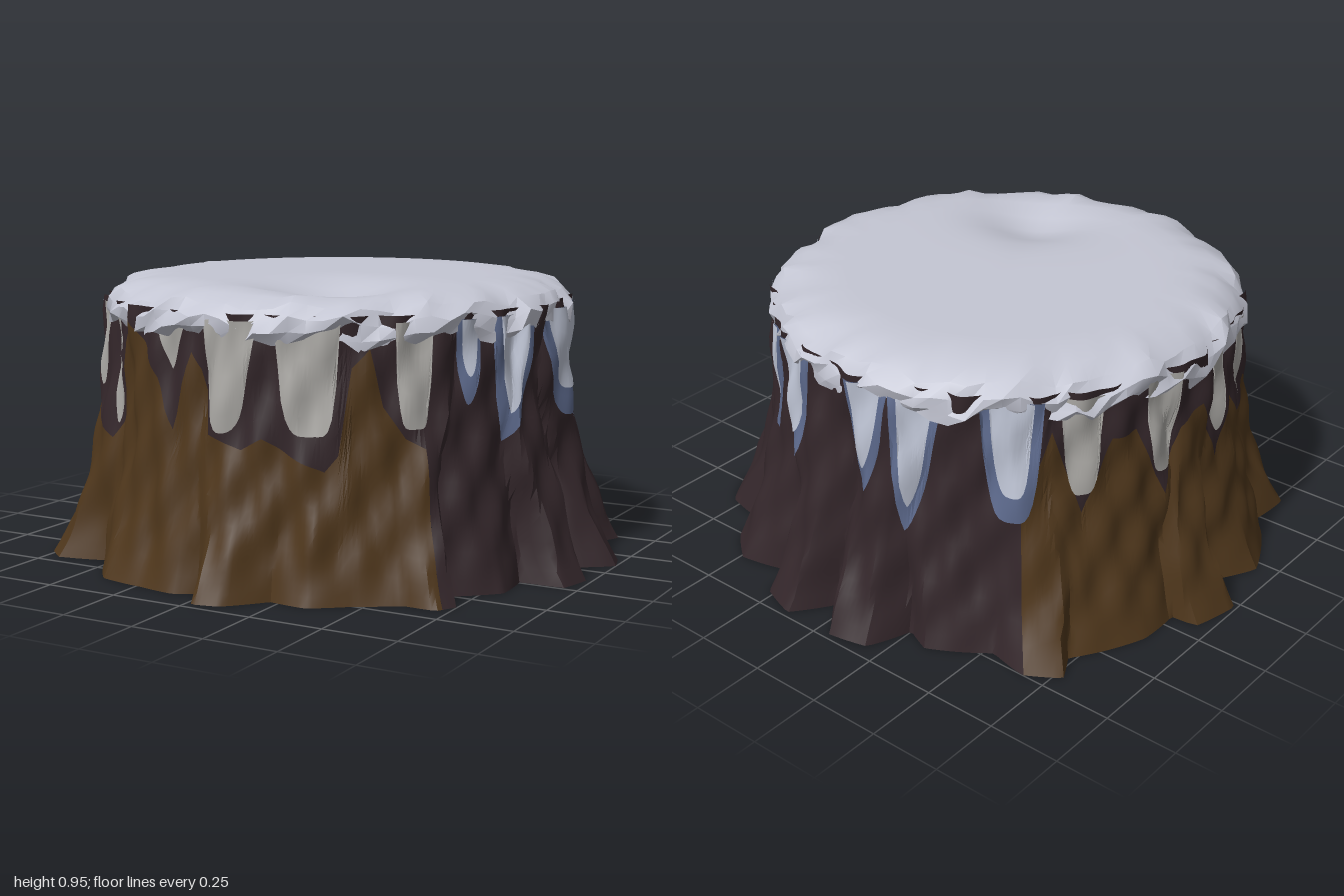
import * as THREE from 'three';
import { toCreasedNormals } from 'three/addons/utils/BufferGeometryUtils.js';

const RAD = Math.PI / 180;
const paint = (name, color) => Object.assign(new THREE.MeshStandardMaterial({ color }), { name });

// Footprint of the root lobes (x, z), in order of rising angle from the back
const FOOT = [
  [-0.53, -0.72], [-0.34, -0.84], [-0.25, -0.80], [-0.19, -0.95], [-0.05, -0.98], [0.03, -0.83],
  [0.14, -0.98], [0.28, -0.93], [0.29, -0.80], [0.49, -0.85], [0.60, -0.76], [0.58, -0.65],
  [0.79, -0.61], [0.87, -0.48], [0.80, -0.35], [0.81, -0.20], [0.97, -0.20], [1.0, -0.10],
  [0.89, -0.02], [0.81, 0.0], [0.98, 0.12], [0.95, 0.24], [0.80, 0.24], [0.81, 0.39],
  [0.67, 0.51], [0.75, 0.60], [0.71, 0.67], [0.60, 0.67], [0.47, 0.75], [0.35, 0.84],
  [0.22, 0.83], [0.11, 0.95], [0.02, 0.97], [-0.03, 0.86], [-0.10, 0.90], [-0.23, 0.88],
  [-0.40, 0.85], [-0.53, 0.66], [-0.70, 0.70], [-0.77, 0.64], [-0.75, 0.42], [-0.82, 0.42],
  [-0.93, 0.21], [-0.83, 0.04], [-0.99, -0.02], [-0.95, -0.19], [-0.86, -0.20], [-0.86, -0.35],
  [-0.73, -0.59], [-0.78, -0.68], [-0.67, -0.75],
];
const START = Math.atan2(FOOT[0][1], FOOT[0][0]) / RAD;
const wrap = d => START + ((((d - START) % 360) + 360) % 360);
const POLAR = FOOT.map(([x, z]) => [wrap(Math.atan2(z, x) / RAD + 1e-6), Math.hypot(x, z)]);
POLAR.push([START + 360, POLAR[0][1]]);

// Piecewise linear lookup in [key, value] pairs
function lookup(table, k) {
  let i = 1;
  while (i < table.length - 1 && table[i][0] < k) i++;
  const [k0, v0] = table[i - 1], [k1, v1] = table[i];
  return v0 + (v1 - v0) * THREE.MathUtils.clamp((k - k0) / (k1 - k0), 0, 1);
}

// Point on the bark at an angle (degrees) and height, pushed out by off
function bark(deg, y, off = 0) {
  const a = deg * RAD;
  const twist = y * 6 * Math.sin(5 * a + 7 * y);
  const foot = lookup(POLAR, wrap(deg + twist));
  const w = Math.pow(Math.max(0, 1 - y / 0.9), 2.6);
  const top = 0.785 + 0.13 * (foot - 0.89);
  const knots = 0.013 * Math.sin(19 * a + 8 * y) * Math.sin(15 * y + 7 * a) + 0.007 * Math.sin(41 * a - 9 * y);
  const r = top + (foot - top) * w + knots * Math.min(1, y * 6) + off;
  return [r * Math.cos(a), y, r * Math.sin(a)];
}

// Surface from a rule fn(u, v), creased like chipped bark or crusted snow
function sheet(cols, rows, fn, crease) {
  const pos = [], index = [];
  for (let i = 0; i <= cols; i++)
    for (let j = 0; j <= rows; j++) pos.push(...fn(i / cols, j / rows));
  for (let i = 0; i < cols; i++)
    for (let j = 0; j < rows; j++) {
      const a = i * (rows + 1) + j, c = a + rows + 1;
      index.push(a, a + 1, c, c, a + 1, c + 1);
    }
  const geo = new THREE.BufferGeometry();
  geo.setAttribute('position', new THREE.Float32BufferAttribute(pos, 3));
  geo.setIndex(index);
  return toCreasedNormals(geo, crease);
}

// Bark-hugging panel between two angles and two height rules
function panel(a0, a1, lo, hi, off, cols, rows) {
  return sheet(cols, rows, (u, v) => {
    const deg = a0 + (a1 - a0) * u, y0 = lo(deg), y1 = Math.max(y0, hi(deg));
    return bark(deg, y0 + (y1 - y0) * v, off);
  }, 0.55);
}

// Upper edge of the brown wood: [angle, height]
const BROWN_EDGE = [
  [42, 0.47], [46, 0.5], [51, 0.6], [54, 0.78], [58, 0.72], [61, 0.45], [64, 0.4], [72, 0.45], [78, 0.5],
  [83, 0.46], [91, 0.5], [94, 0.7], [97, 0.75], [102, 0.5], [107, 0.66], [112, 0.75], [120, 0.85], [123, 0.75],
  [126, 0.5], [129, 0.42], [136, 0.47], [144, 0.56], [151, 0.45], [158, 0.5], [165, 0.7], [172, 0.45], [180, 0.7],
  [187, 0.65], [193, 0.45], [200, 0.7], [207, 0.7], [214, 0.45], [221, 0.75], [228, 0.5],
];
// Icy runs: [angle, half width, lowest height, sharpness, lean]
const FROST = [
  [44, 4.5, 0.53, 6, 0], [68, 7.5, 0.51, 5, -0.2], [86, 6.5, 0.51, 3, 0.3], [103, 5, 0.69, 1.2, 0],
  [128, 2.5, 0.47, 2, 0], [138, 3.5, 0.58, 2, 0.2], [155, 5, 0.54, 4, 0], [172, 4, 0.55, 3, 0],
  [193, 5, 0.53, 4, 0], [214, 5, 0.52, 4, 0],
];
const ICE = [
  [-130, 5, 0.55, 4, 0], [-108, 4.5, 0.46, 1.6, 0.4], [-96, 4, 0.56, 2, 0.3], [-70, 5, 0.55, 3, 0],
  [-58, 2.5, 0.57, 5, 0], [-29, 6.5, 0.47, 1.5, 0.5], [-5, 6, 0.59, 3, -0.3], [16, 5.5, 0.55, 1.5, 0.5],
  [30, 2.5, 0.68, 2, 0],
];
const TOP = 0.86;
function run([a, w, low, sharp, lean], grow, drop, off) {
  const half = w * grow;
  const lo = deg => {
    const t = (deg - a) / half;
    const s = t > lean ? (t - lean) / (1 - lean) : (lean - t) / (1 + lean);
    return low - drop + (TOP - low + drop) * Math.pow(Math.min(1, s), sharp);
  };
  return panel(a - half, a + half, lo, () => TOP, off, 16, 6);
}

// Snow cap from under the lip to the middle: [radius, height, lumpiness]
const CAP = [
  [0.74, 0.82, 0.3], [0.785, 0.795, 1], [0.803, 0.825, 0.9], [0.8, 0.865, 0.8], [0.765, 0.905, 0.6],
  [0.70, 0.935, 0.25], [0.62, 0.95, 0], [0.54, 0.952, 0], [0.46, 0.952, 0], [0.38, 0.952, 0],
  [0.3, 0.952, 0], [0.2, 0.952, 0], [0.1, 0.952, 0], [0, 0.952, 0],
];
function snowPoint(u, v) {
  const a = u * Math.PI * 2, j = Math.round(v * (CAP.length - 1));
  const [r, y, lump] = CAP[j];
  const rr = r + lump * (0.010 * Math.sin(13 * a + 2 * j) + 0.009 * Math.sin(29 * a + 3 * j));
  const x = rr * Math.cos(a), z = rr * Math.sin(a);
  const sag = lump * (0.017 * Math.sin(11 * a + 1.3) + 0.013 * Math.sin(23 * a + j) + 0.008 * Math.sin(37 * a));
  const dent = 0.075 * Math.exp(-(((x - 0.2) / 0.2) ** 2) - ((z - 0.4) / 0.17) ** 2);
  return [x, y + sag - dent, z];
}

export function createModel() {
  const group = new THREE.Group();
  group.name = 'snowyStump';
  const brown = paint('brown bark', 0x4e361b);
  const dark = paint('dark bark', 0x33262a);
  const snow = paint('snow', 0xc4c6d3);
  const frost = paint('grey frost', 0xa9a7a3);
  const ice = paint('pale ice', 0xbcc2d2);
  const blue = paint('blue ice', 0x5d6a8d);
  const add = (name, geo, mat) => {
    const mesh = new THREE.Mesh(geo, mat);
    mesh.name = name;
    group.add(mesh);
  };

  // Bark: brown on the front and right, dark on the rest and under the snow
  const edge = deg => lookup(BROWN_EDGE, deg);
  add('brownBark', panel(42, 228, () => 0, edge, 0, 186, 14), brown);
  add('darkBarkBand', panel(42, 228, edge, () => 0.88, 0, 186, 6), dark);
  add('darkBark', panel(228, 402, () => 0, () => 0.88, 0, 174, 20), dark);

  // Underside, with a dark piece along the back left
  const base = points => new THREE.ShapeGeometry(
    new THREE.Shape(points.map(([x, z]) => new THREE.Vector2(x, z)))).rotateX(Math.PI / 2);
  add('darkUnderside', base(FOOT.slice(2, 18)), dark);
  add('brownUnderside', base([...FOOT.slice(17), ...FOOT.slice(0, 3)]), brown);

  // Frozen runs below the snow
  FROST.forEach(f => add('frostRun', run(f, 1, 0, 0.006), frost));
  ICE.forEach(f => {
    add('iceRunEdge', run(f, 1.45, 0.09, 0.004), blue);
    add('iceRun', run(f, 1, 0, 0.009), ice);
  });

  // Snow cap
  add('snowCap', sheet(90, CAP.length - 1, snowPoint, 0.5), snow);
  return group;
}
